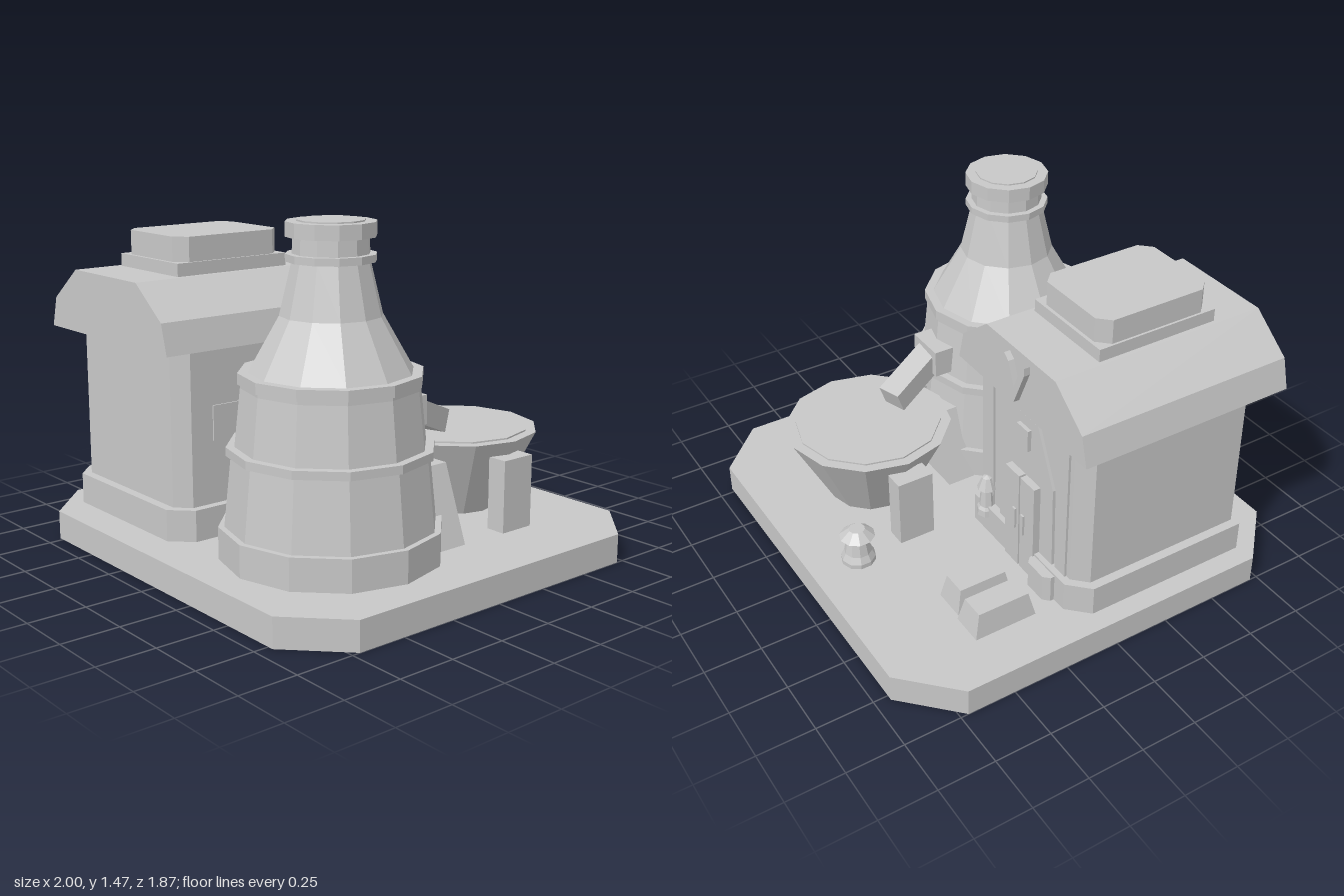
import * as THREE from 'three';

export function createModel() {
  const model = new THREE.Group();
  const stone = new THREE.MeshStandardMaterial({ color: 0xc8c8c8, flatShading: true, side: THREE.DoubleSide });
  stone.name = 'grey stone';
  const GROUND = 0.125; // top of the slab

  const add = (name, geometry, x = 0, y = 0, z = 0) => {
    const mesh = new THREE.Mesh(geometry, stone);
    mesh.name = name;
    mesh.position.set(x, y, z);
    model.add(mesh);
    return mesh;
  };
  // Box given by its limits on each axis
  const box = (name, [x0, x1], [y0, y1], [z0, z1]) =>
    add(name, new THREE.BoxGeometry(x1 - x0, y1 - y0, z1 - z0), (x0 + x1) / 2, (y0 + y1) / 2, (z0 + z1) / 2);
  const polygon = (points) => new THREE.Shape(points.map(([x, y]) => new THREE.Vector2(x, y)));
  const extrude = (points, depth) =>
    new THREE.ExtrudeGeometry(polygon(points), { depth, bevelEnabled: false });
  // Upright block with cut corners
  const cutBlock = (name, [x0, x1], [y0, y1], [z0, z1], cx, cz = cx) => {
    const w = (x1 - x0) / 2, d = (z1 - z0) / 2;
    const outline = [[w - cx, -d], [w, cz - d], [w, d - cz], [w - cx, d],
      [cx - w, d], [-w, d - cz], [-w, cz - d], [cx - w, -d]];
    return add(name, extrude(outline, y1 - y0).rotateX(-Math.PI / 2), (x0 + x1) / 2, y0, (z0 + z1) / 2);
  };
  // Faceted round part, profile listed as radius, height from the bottom up
  const round = (name, profile, sides, x, z) =>
    add(name, new THREE.LatheGeometry(profile.map(([r, y]) => new THREE.Vector2(r, y)), sides), x, 0, z);

  // Base slab, hollow below: the six triangles of its bottom lid come first and are dropped
  const base = cutBlock('base', [-1, 1], [0, GROUND], [-0.935, 0.935], 0.225, 0.22).geometry;
  base.clearGroups();
  for (const [key, a] of Object.entries(base.attributes))
    base.setAttribute(key, new THREE.BufferAttribute(a.array.slice(18 * a.itemSize), a.itemSize));

  // House: plinth, walls and gambrel roof
  cutBlock('housePlinth', [-0.91, -0.05], [GROUND, 0.26], [-0.152, 0.785], 0.087);
  cutBlock('houseWalls', [-0.87, -0.087], [0.25, 0.94], [-0.115, 0.745], 0.06);
  add('roof', extrude([[-0.455, 0.925], [0.455, 0.925], [0.42, 1.055], [0.24, 1.195],
    [-0.24, 1.195], [-0.42, 1.055]], 0.99), -0.48, 0, -0.155);
  box('roofCurb', [-0.7, -0.26], [1.19, 1.25], [0.06, 0.62]);
  cutBlock('roofVent', [-0.69, -0.27], [1.25, 1.355], [0.075, 0.605], 0.05);
  box('sidePanel', [-0.095, -0.08], [0.53, 0.68], [0.08, 0.58]);

  // Entrance on the rear wall
  add('doorSurround', extrude([[-0.2, 0.125], [0.2, 0.125], [0.19, 0.64], [0.075, 0.89],
    [-0.075, 0.89], [-0.19, 0.64]], 0.05), -0.5, 0, -0.128);
  for (const s of [-1, 1]) {
    box('doorLeaf', [-0.5 + s * 0.055 - 0.05, -0.5 + s * 0.055 + 0.05], [0.125, 0.6], [-0.16, -0.12]);
    box('doorHandle', [-0.5 + s * 0.03 - 0.01, -0.5 + s * 0.03 + 0.01], [0.32, 0.42], [-0.17, -0.155]);
    box('doorPillar', [-0.48 + s * 0.27 - 0.035, -0.48 + s * 0.27 + 0.035], [0.125, 0.93], [-0.125, -0.1]);
  }
  box('doorPlaque', [-0.53, -0.45], [0.74, 0.84], [-0.145, -0.12]);
  add('gableChevron', extrude([[0, 0.97], [0.07, 1.13], [0.07, 1.165], [0.04, 1.14], [0, 1.04],
    [-0.04, 1.14], [-0.07, 1.165], [-0.07, 1.13]], 0.03), -0.48, 0, -0.182);
  cutBlock('doorCrate', [-0.755, -0.6], [0.125, 0.25], [-0.195, -0.1], 0.025);
  round('doorLantern', [[0, 0.21], [0.047, 0.21], [0.045, 0.24], [0.036, 0.255], [0.028, 0.335],
    [0.045, 0.345], [0.022, 0.4], [0, 0.41]], 8, -0.215, -0.137);

  // Kiln tower with hoops and cap
  round('kiln', [[0, GROUND], [0.455, GROUND], [0.455, 0.26], [0.43, 0.26], [0.4, 0.55], [0.385, 0.585],
    [0.36, 0.82], [0.33, 0.88], [0.205, 1.1], [0.155, 1.31], [0.15, 1.42], [0, 1.42]], 12, 0.4, 0.35);
  const hoops = [[0.55, 0.585, 0.42], [0.815, 0.835, 0.36], [0.835, 0.88, 0.37], [1.31, 1.34, 0.18]];
  for (const [y0, y1, r] of hoops)
    round('kilnHoop', [[0, y0], [r, y0], [r, y1], [0, y1]], 12, 0.4, 0.35);
  round('kilnCap', [[0, 1.405], [0.18, 1.405], [0.18, 1.464], [0, 1.464]], 12, 0.4, 0.35);
  round('kilnLid', [[0, 1.45], [0.135, 1.45], [0.135, 1.47], [0, 1.47]], 12, 0.4, 0.35);

  // Buttresses behind the kiln, sloping away to each side
  const buttress = [[0.06, GROUND], [0.28, GROUND], [0.16, 0.45], [0.06, 0.45]];
  add('buttress', extrude(buttress, 0.135), 0.4, 0, -0.13);
  add('buttress', extrude(buttress.map(([x, y]) => [-x, y]), 0.135), 0.4, 0, -0.13);

  // Spout and pouring chute
  box('spoutBlock', [0.3, 0.49], [0.605, 0.73], [-0.085, 0.06]);
  const start = new THREE.Vector3(0.4, 0.66, -0.05), end = new THREE.Vector3(0.315, 0.556, -0.306);
  const chute = add('chute', new THREE.BoxGeometry(0.11, 0.1, start.distanceTo(end)));
  chute.position.copy(start).lerp(end, 0.5);
  chute.lookAt(end);

  // Basin between two posts
  round('basin', [[0, 0.155], [0.19, 0.155], [0.365, 0.503], [0, 0.503]], 12, 0.29, -0.44);
  round('basinFill', [[0, 0.49], [0.32, 0.49], [0.32, 0.51], [0, 0.51]], 12, 0.29, -0.44);
  for (const s of [-1, 1])
    box('basinPost', [0.285 + s * 0.355 - 0.045, 0.285 + s * 0.355 + 0.045], [GROUND, 0.44], [-0.515, -0.35]);

  // Small bollard
  round('bollard', [[0, GROUND], [0.075, GROUND], [0.075, 0.145], [0.06, 0.175], [0.045, 0.25],
    [0.077, 0.255], [0.035, 0.29], [0, 0.29]], 10, -0.1, -0.715);

  // Tapered ingots
  for (const [x, z, w, d] of [[-0.713, -0.405, 0.145, 0.285], [-0.555, -0.405, 0.145, 0.26]]) {
    const ingot = new THREE.BoxGeometry(w, 0.11, d);
    const p = ingot.attributes.position;
    for (let i = 0; i < p.count; i++)
      if (p.getY(i) > 0) p.setXYZ(i, p.getX(i) * 0.75, p.getY(i), p.getZ(i) * 0.82);
    ingot.computeVertexNormals();
    add('ingot', ingot, x, GROUND + 0.055, z);
  }

  return model;
}
